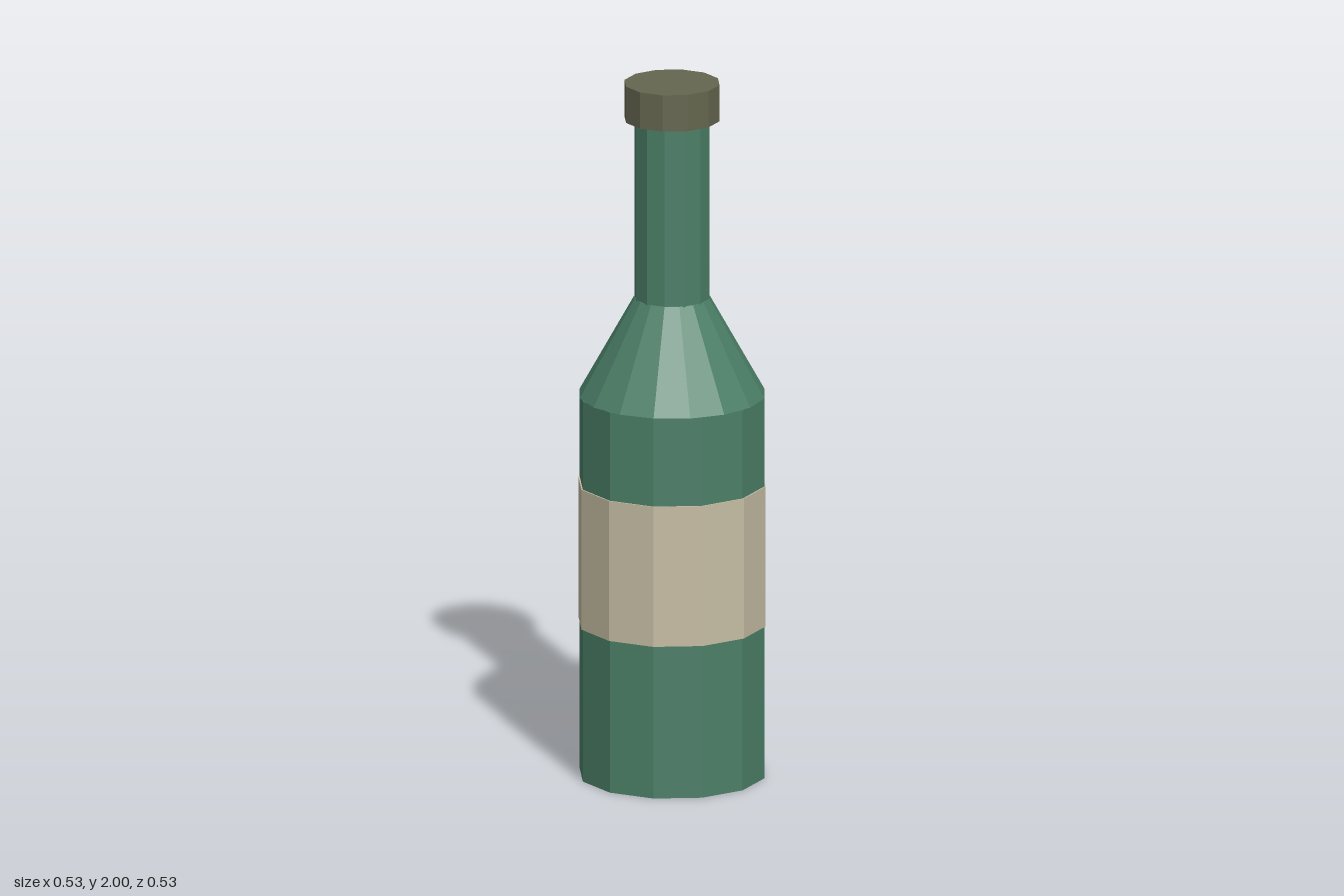
import * as THREE from 'three';

const flat = (name, color) => {
  const m = new THREE.MeshStandardMaterial({ color });
  m.name = name;
  m.flatShading = true;
  return m;
};

export function createModel() {
  const group = new THREE.Group();
  group.name = 'bottle';

  const glass = flat('green glass', 0x4c8068);
  const paper = flat('cream paper', 0xc6bda3);
  const stopper = flat('olive cap', 0x65664f);

  // Faceted ring section standing between heights y0 and y1
  const section = (name, material, y0, y1, rBottom, rTop, sides, open = false) => {
    const geometry = new THREE.CylinderGeometry(rTop, rBottom, y1 - y0, sides, 1, open);
    const mesh = new THREE.Mesh(geometry, material);
    mesh.name = name;
    mesh.position.y = (y0 + y1) / 2;
    group.add(mesh);
  };

  section('body', glass, 0, 1.1, 0.262, 0.262, 12);
  // The shoulder has more facets than the body
  section('shoulder', glass, 1.1, 1.38, 0.262, 0.106, 16);
  section('neck', glass, 1.375, 1.9, 0.106, 0.106, 12);
  section('cap', stopper, 1.895, 2, 0.135, 0.135, 12);
  // Thin paper band wrapped round the body
  section('label', paper, 0.44, 0.845, 0.266, 0.266, 12);

  return group;
}
